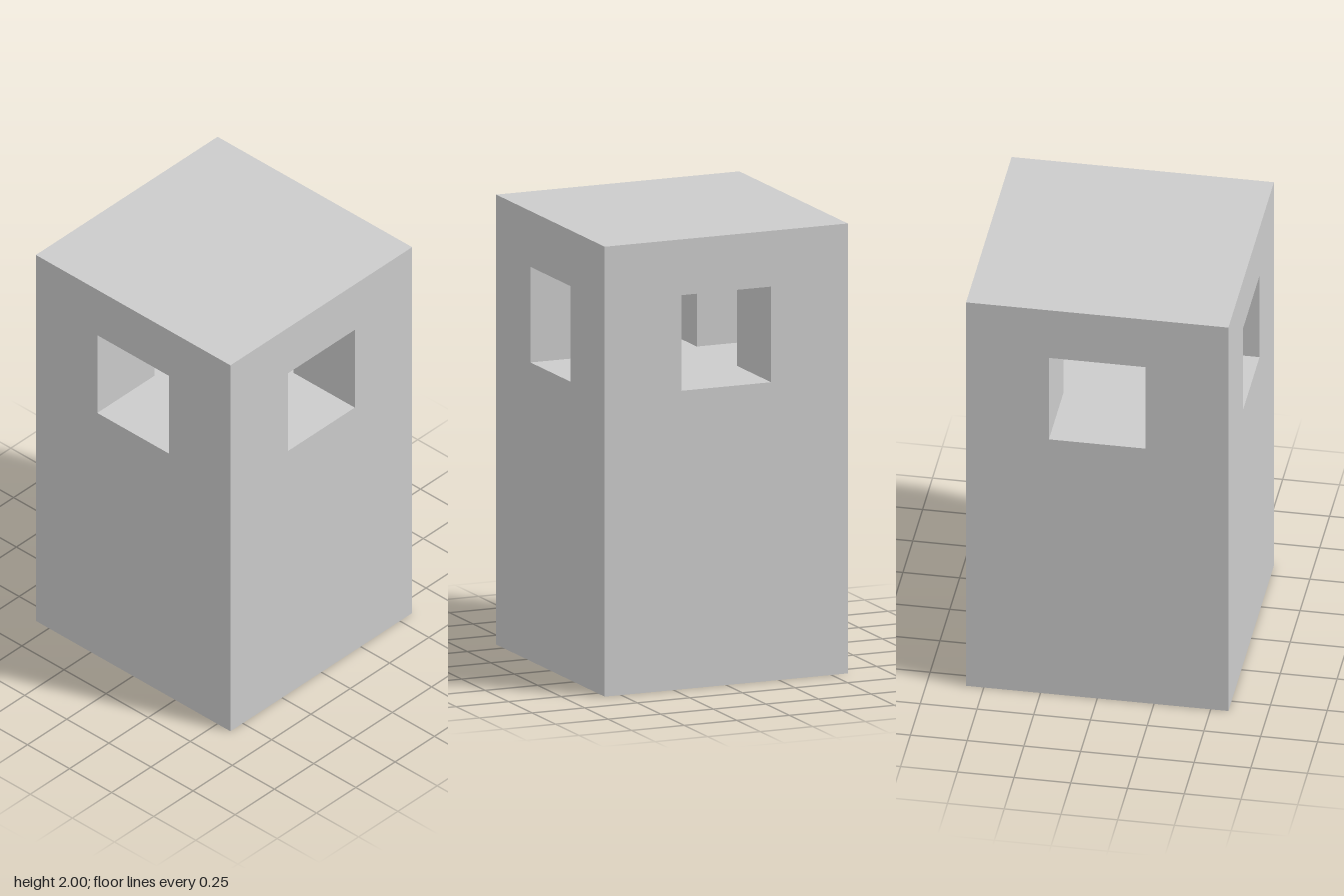
import * as THREE from 'three';
import { mergeGeometries } from 'three/addons/utils/BufferGeometryUtils.js';

const HALF = 0.578, HEIGHT = 2;              // block
const WIN = 0.213, SILL = 1.327, HEAD = 1.752; // window openings

const material = new THREE.MeshStandardMaterial({ color: 0xcccccc, flatShading: true });

function polygon(points) {
  return new THREE.Shape(points.map(([x, y]) => new THREE.Vector2(x, y)));
}

// Repeats a front-facing geometry on all four sides
function aroundFourSides(geometry) {
  const copies = [0, 1, 2, 3].map((i) => geometry.clone().rotateY(i * Math.PI / 2));
  return mergeGeometries(copies);
}

export function createModel() {
  const group = new THREE.Group();
  const add = (name, geometry) => {
    const mesh = new THREE.Mesh(geometry, material);
    mesh.name = name;
    group.add(mesh);
  };

  // Outer walls, each with a square window
  const wall = polygon([[-HALF, 0], [HALF, 0], [HALF, HEIGHT], [-HALF, HEIGHT]]);
  wall.holes.push(polygon([[-WIN, SILL], [-WIN, HEAD], [WIN, HEAD], [WIN, SILL]]));
  add('walls', aroundFourSides(new THREE.ShapeGeometry(wall).translate(0, 0, HALF)));

  // Flat roof and base
  const slab = () => new THREE.PlaneGeometry(2 * HALF, 2 * HALF);
  add('roof', slab().rotateX(-Math.PI / 2).translate(0, HEIGHT, 0));
  add('base', slab().rotateX(Math.PI / 2));

  // Cross-shaped floor and ceiling where the two window passages meet
  const cross = polygon([
    [-WIN, -HALF], [WIN, -HALF], [WIN, -WIN], [HALF, -WIN], [HALF, WIN], [WIN, WIN],
    [WIN, HALF], [-WIN, HALF], [-WIN, WIN], [-HALF, WIN], [-HALF, -WIN], [-WIN, -WIN],
  ]);
  add('passageFloor', new THREE.ShapeGeometry(cross).rotateX(-Math.PI / 2).translate(0, SILL, 0));
  add('passageCeiling', new THREE.ShapeGeometry(cross).rotateX(Math.PI / 2).translate(0, HEAD, 0));

  // Side faces of the passages, from each window in to the crossing
  const sides = [-1, 1].map((s) => new THREE.PlaneGeometry(HALF - WIN, HEAD - SILL)
    .rotateY(-s * Math.PI / 2)
    .translate(s * WIN, (SILL + HEAD) / 2, (HALF + WIN) / 2));
  add('passageSides', aroundFourSides(mergeGeometries(sides)));

  return group;
}
